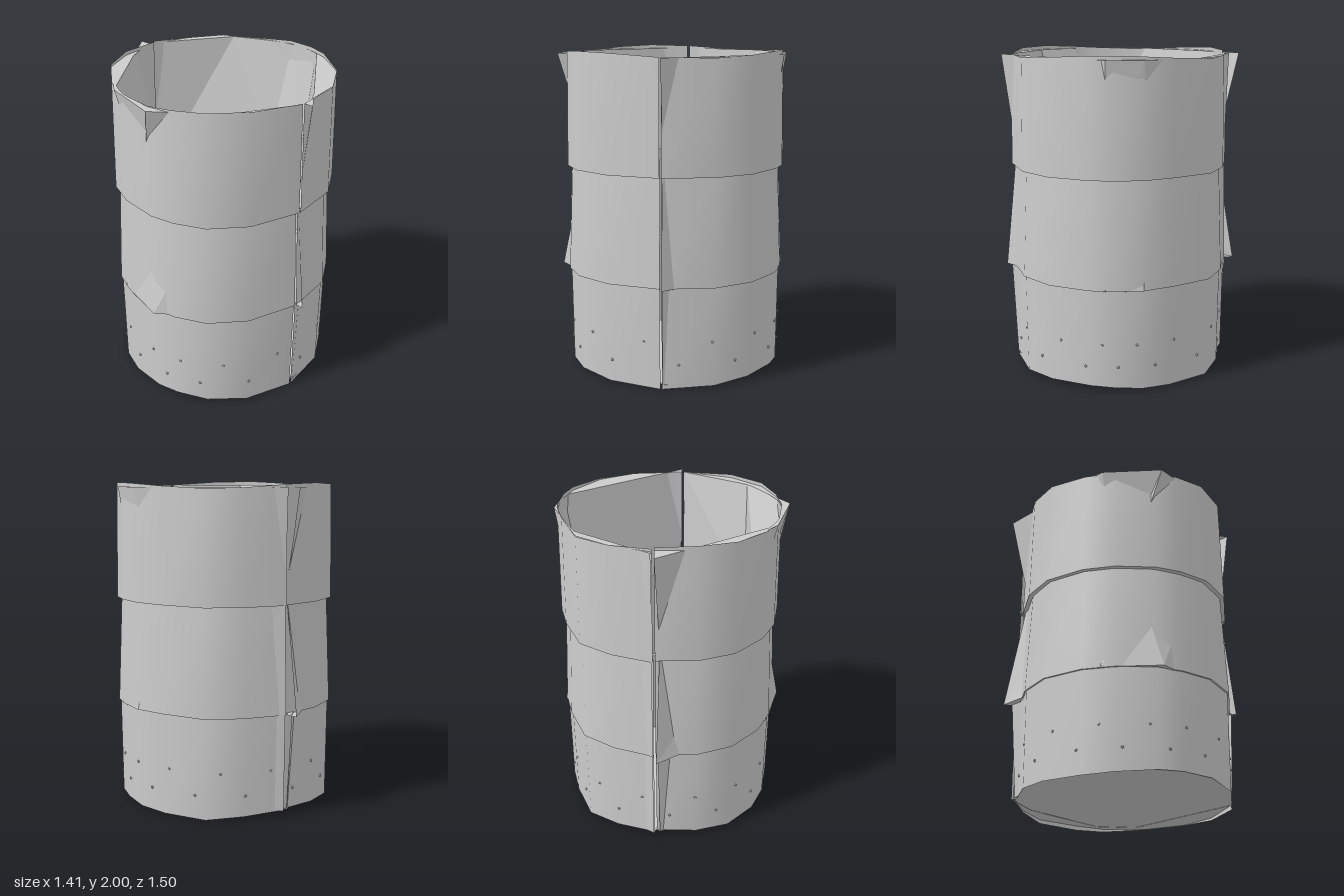
import * as THREE from 'three';

const smooth = new THREE.MeshStandardMaterial({ color: 0xcccccc, side: THREE.DoubleSide });
const flat = new THREE.MeshStandardMaterial({ color: 0xcccccc, side: THREE.DoubleSide, flatShading: true });

// Plan outlines [x, z] of the two half shells, each running seam to seam.
const halves = [
  {
    name: 'left',
    outer: [[0.015, -0.67], [0.27, -0.61], [0.48, -0.5], [0.62, -0.25], [0.69, -0.07], [0.69, 0.11],
      [0.66, 0.25], [0.53, 0.48], [0.33, 0.63], [0.015, 0.7]],
    wide: [[0.02, -0.68], [0.5, -0.42], [0.7, -0.07], [0.69, 0.15], [0.02, 0.75]],
    narrow: [[0.02, -0.66], [0.14, -0.6], [0.57, -0.13], [0.58, 0.15], [0.02, 0.66]],
  },
  {
    name: 'right',
    outer: [[0.005, 0.7], [-0.32, 0.63], [-0.53, 0.48], [-0.63, 0.3], [-0.67, 0.15], [-0.66, -0.1],
      [-0.6, -0.29], [-0.45, -0.5], [-0.25, -0.61], [0.005, -0.65]],
    wide: [[0, 0.69], [-0.43, 0.5], [-0.71, 0.19], [-0.65, -0.18], [-0.01, -0.75]],
    narrow: [[0, 0.66], [-0.44, 0.38], [-0.56, -0.02], [-0.5, -0.09], [-0.02, -0.6]],
  },
];

const scaled = (pts, s) => pts.map(([x, z]) => [x * s, z * s]);
const blend = (a, b, t) => a.map((p, i) => [p[0] + (b[i][0] - p[0]) * t, p[1] + (b[i][1] - p[1]) * t]);

// Point at t (0..1) along a polyline, each segment having an equal share.
function at(pts, t) {
  const f = t * (pts.length - 1), i = Math.min(Math.floor(f), pts.length - 2), k = f - i;
  return [pts[i][0] + (pts[i + 1][0] - pts[i][0]) * k, pts[i][1] + (pts[i + 1][1] - pts[i][1]) * k];
}

// Ruled strip between two plan polylines; the heights are functions of the angle.
function strip(name, low, high, yLow, yHigh, n, material) {
  const pos = [], index = [];
  for (let i = 0; i <= n; i++) {
    for (const [pts, y] of [[low, yLow], [high, yHigh]]) {
      const [x, z] = at(pts, i / n);
      pos.push(x, y(Math.atan2(z, x)), z);
    }
    if (i < n) {
      const a = i * 2;
      index.push(a, a + 1, a + 2, a + 1, a + 3, a + 2);
    }
  }
  const g = new THREE.BufferGeometry();
  g.setAttribute('position', new THREE.Float32BufferAttribute(pos, 3));
  g.setIndex(index);
  g.computeVertexNormals();
  const mesh = new THREE.Mesh(g, material);
  mesh.name = name;
  return mesh;
}

export function createModel() {
  const model = new THREE.Group();
  const level = (y) => () => y;

  // Three stacked tiers: edge heights, edge scales and how far the liner flares.
  const tiers = [
    { name: 'lower', y0: (a) => 0.015 + 0.015 * Math.sin(3 * a), y1: level(0.635), s0: 0.975, s1: 0.985, f0: 0.3, f1: 0.6 },
    { name: 'middle', y0: level(0.63), y1: (a) => 1.295 + 0.008 * Math.sin(4 * a), s0: 1, s1: 0.96, f0: 0.95, f1: 0.2 },
    { name: 'upper', y0: level(1.29), y1: (a) => 1.985 + 0.015 * Math.sin(3 * a + 1), s0: 1, s1: 0.985, f0: 0, f1: 1 },
  ];

  for (const t of tiers) {
    const tier = new THREE.Group();
    tier.name = t.name + 'Tier';
    for (const h of halves) {
      const bottom = scaled(h.outer, t.s0), top = scaled(h.outer, t.s1);
      const inBottom = blend(h.narrow, h.wide, t.f0), inTop = blend(h.narrow, h.wide, t.f1);
      const lo = level(t.y0(0) < 0.1 ? 0.03 : t.y0(0));
      const hi = level(t.name === 'upper' ? 1.975 : t.y1(0));
      tier.add(
        strip(h.name + 'Shell', bottom, top, t.y0, t.y1, 9, smooth),
        strip(h.name + 'Liner', inBottom, inTop, lo, hi, 4, flat),
        strip(h.name + 'TopEdge', top, inTop, hi, hi, 36, flat),
        strip(h.name + 'BottomEdge', inBottom, bottom, lo, lo, 36, flat),
      );
    }
    model.add(tier);
  }

  // Floor closing the bottom of the shell
  const outline = halves.flatMap((h) => scaled(h.outer, 0.97));
  const floor = new THREE.Mesh(
    new THREE.ShapeGeometry(new THREE.Shape(outline.map(([x, z]) => new THREE.Vector2(x, -z)))), flat);
  floor.rotation.x = -Math.PI / 2;
  floor.position.y = 0.032;
  floor.name = 'floor';
  model.add(floor);

  // Two staggered rows of tiny studs around the lower tier
  const studs = new THREE.Group();
  studs.name = 'studs';
  const studGeometry = new THREE.CylinderGeometry(0.006, 0.011, 0.012, 5).rotateX(Math.PI / 2);
  for (const h of halves) {
    for (let i = 0; i < 14; i++) {
      const [x, z] = at(scaled(h.outer, 0.98), (i + 0.5) / 14);
      const stud = new THREE.Mesh(studGeometry, flat);
      stud.name = 'stud';
      stud.position.set(x, i % 2 ? 0.15 : 0.29, z);
      stud.rotation.y = Math.atan2(x, z);
      studs.add(stud);
    }
  }
  model.add(studs);
  return model;
}
